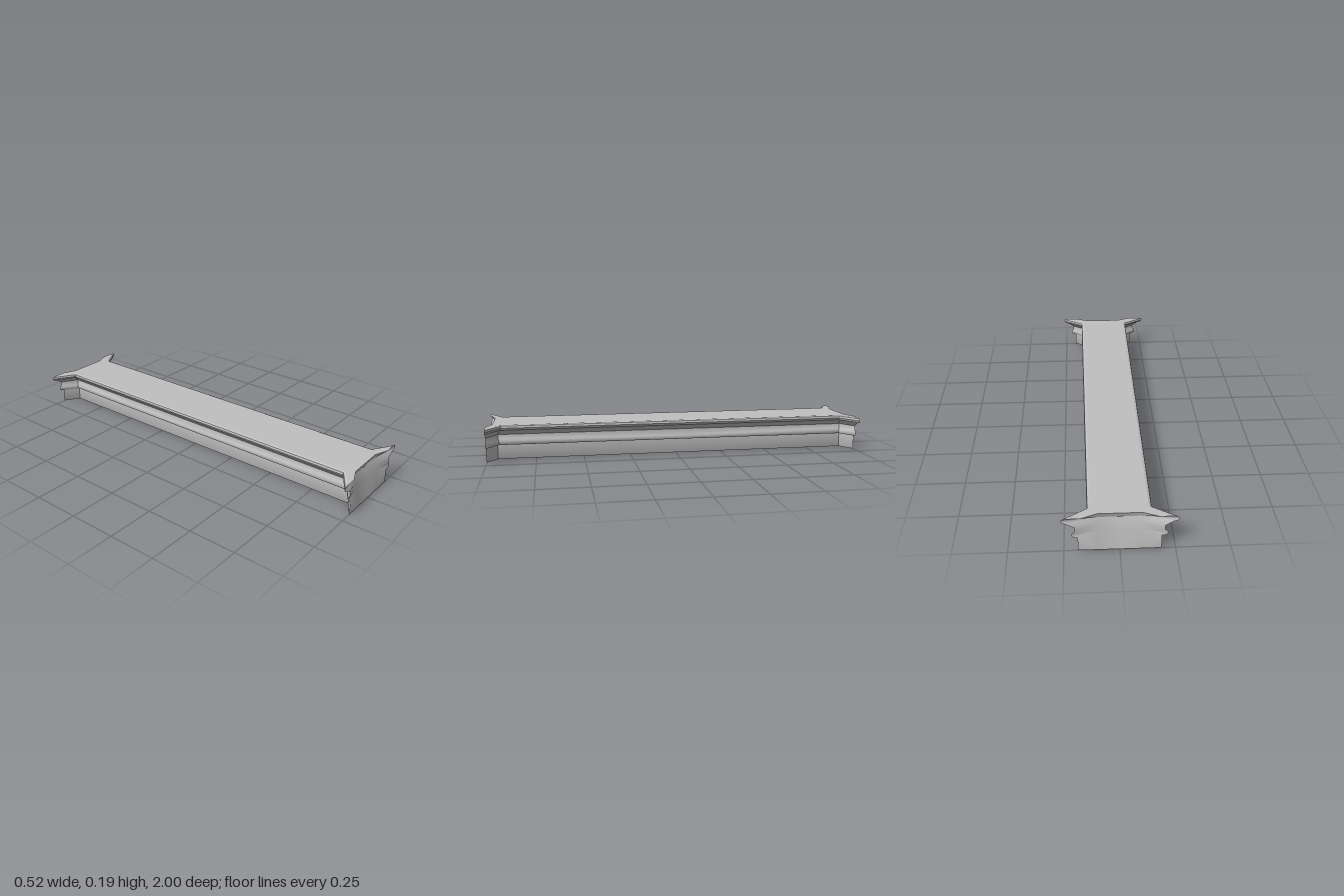
import * as THREE from 'three';
import { toCreasedNormals } from 'three/addons/utils/BufferGeometryUtils.js';

// Moulding outline at the flared end: [x, y] from the base to the top lip
const PROFILE = [
  [0.184, 0], [0.187, 0.004], [0.187, 0.075],
  [0.205, 0.077], [0.213, 0.085], [0.213, 0.098], [0.2, 0.11],
  [0.199, 0.132],
  [0.235, 0.155], [0.252, 0.159], [0.261, 0.17], [0.256, 0.181], [0.235, 0.185],
];
const TOP = 0.185;

// Recessed column of the end face at x = 0.1: [y, z]
const COLUMN = [[0, 1], [0.1, 0.98], [0.135, 0.972], [0.16, 0.963], [TOP, 0.97]];
// Profile index at which the end face moves on to the next column point
const STEPS = [2, 6, 8];

export function createModel() {
  const group = new THREE.Group();
  const stone = new THREE.MeshStandardMaterial({ color: 0xbfbfbf });
  stone.name = 'light grey';

  // Collects triangles of one quarter and mirrors each into all four
  const makeQuarters = () => {
    const positions = [];
    const tri = (a, b, c) => {
      for (const sx of [1, -1]) for (const sz of [1, -1]) {
        const order = sx * sz > 0 ? [a, b, c] : [a, c, b];
        for (const p of order) positions.push(p[0] * sx, p[1], p[2] * sz);
      }
    };
    const quad = (a, b, c, d) => { tri(a, b, c); tri(a, c, d); };
    const fan = (centre, points, flip) => {
      for (let i = 0; i < points.length - 1; i++) {
        if (flip) tri(centre, points[i + 1], points[i]);
        else tri(centre, points[i], points[i + 1]);
      }
    };
    const finish = (name) => {
      const geometry = new THREE.BufferGeometry();
      geometry.setAttribute('position', new THREE.Float32BufferAttribute(positions, 3));
      const mesh = new THREE.Mesh(toCreasedNormals(geometry, 0.6), stone);
      mesh.name = name;
      group.add(mesh);
    };
    return { tri, quad, fan, finish };
  };

  // Outline at mid length, at the mitred kink and at the end
  const bodyX = (x) => 0.105 + (x - 0.187) / 1.855;
  const kinkZ = (x) => 1 - (x - bodyX(x)) * 0.63;
  const mid = PROFILE.map(([x, y]) => [bodyX(x), y, 0]);
  const kink = PROFILE.map(([x, y]) => [bodyX(x), y, kinkZ(x)]);
  const end = PROFILE.map(([x, y]) => [x, y, 1]);
  const last = PROFILE.length - 1;

  // Moulded long sides with flared ends
  const sides = makeQuarters();
  for (let i = 0; i < last; i++) {
    sides.quad(mid[i], mid[i + 1], kink[i + 1], kink[i]);
    sides.quad(kink[i], kink[i + 1], end[i + 1], end[i]);
  }
  sides.finish('mouldedSides');

  // Flat top with notched ends
  const notch = [0.175, TOP, 1];
  const top = makeQuarters();
  top.fan(kink[last], [end[last], notch, [0.1, TOP, 0.97], [0, TOP, 0.97], [0, TOP, 0], mid[last]], true);
  top.finish('topSurface');

  // Flat underside
  const base = makeQuarters();
  base.fan(kink[0], [end[0], [0.1, 0, 1], [0, 0, 1], [0, 0, 0], mid[0]], false);
  base.finish('underside');

  // Scooped end faces
  const ends = makeQuarters();
  const column = COLUMN.map(([y, z]) => [0.1, y, z]);
  let start = 0;
  [...STEPS, last].forEach((stop, j) => {
    ends.fan(column[j], end.slice(start, stop + 1), false);
    if (j < STEPS.length) ends.tri(column[j], end[stop], column[j + 1]);
    start = stop;
  });
  ends.tri(column[3], end[last], notch);
  ends.tri(column[3], notch, column[4]);
  for (let j = 0; j < column.length - 1; j++) {
    const [a, b] = [column[j], column[j + 1]];
    ends.quad([0, a[1], a[2]], a, b, [0, b[1], b[2]]);
  }
  ends.finish('endFaces');

  return group;
}
